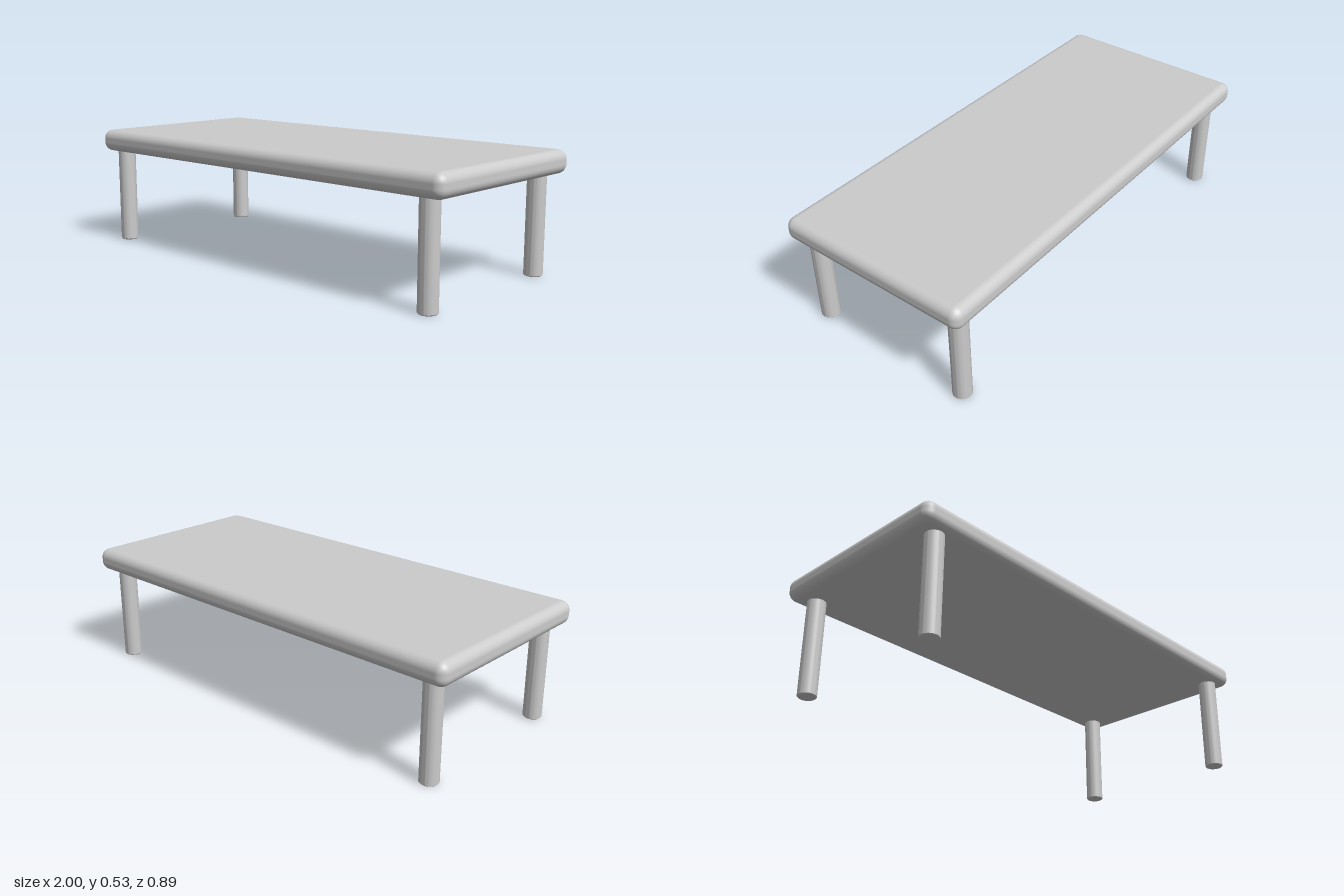
import * as THREE from 'three';
import { RoundedBoxGeometry } from 'three/addons/geometries/RoundedBoxGeometry.js';
import { toCreasedNormals } from 'three/addons/utils/BufferGeometryUtils.js';

const TOP_Y = 0.53, THICKNESS = 0.1, WIDTH = 2, DEPTH = 0.89;
const LEG_RADIUS = 0.04, LEG_X = 0.9, LEG_FRONT_Z = 0.373, LEG_BACK_Z = -0.36;

// Round leg with a slightly eased foot, its upper end sunk into the top
function legGeometry() {
  const ease = 0.004, height = TOP_Y - THICKNESS + 0.02;
  const profile = [
    [0, 0], [LEG_RADIUS - ease, 0], [LEG_RADIUS, ease],
    [LEG_RADIUS, height], [0, height],
  ].map(([r, y]) => new THREE.Vector2(r, y));
  return toCreasedNormals(new THREE.LatheGeometry(profile, 40), 0.6);
}

export function createModel() {
  const table = new THREE.Group();
  table.name = 'table';
  const material = new THREE.MeshStandardMaterial({ color: 0xcccccc });

  // Thick slab with rounded edges
  const top = new THREE.Mesh(new RoundedBoxGeometry(WIDTH, THICKNESS, DEPTH, 6, 0.04), material);
  top.name = 'tableTop';
  top.position.y = TOP_Y - THICKNESS / 2;
  table.add(top);

  // Four legs near the corners
  const geometry = legGeometry();
  for (const [end, z] of [['front', LEG_FRONT_Z], ['back', LEG_BACK_Z]]) {
    for (const [side, sign] of [['Left', 1], ['Right', -1]]) {
      const leg = new THREE.Mesh(geometry, material);
      leg.name = `${end}${side}Leg`;
      leg.position.set(sign * LEG_X, 0, z);
      table.add(leg);
    }
  }
  return table;
}
